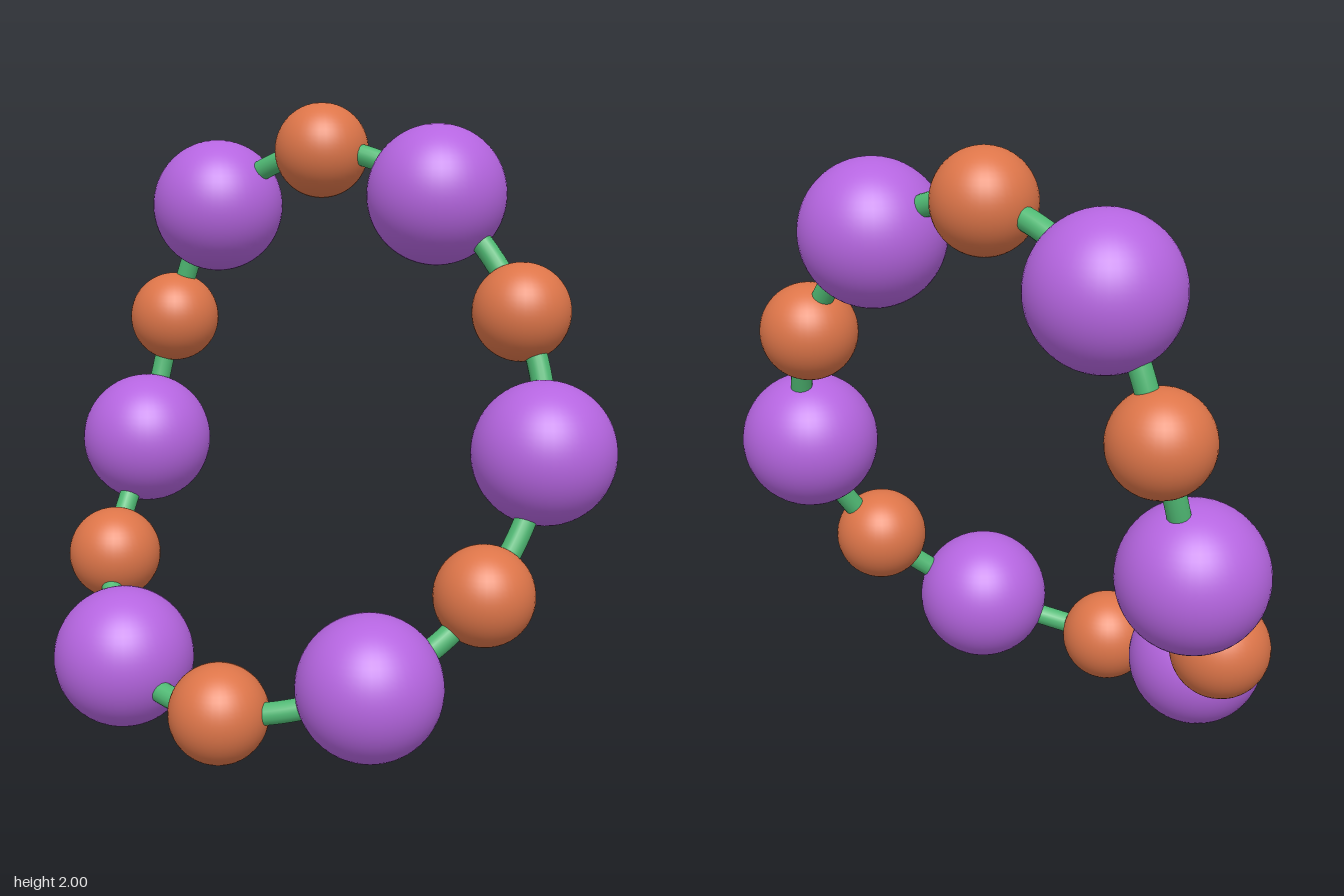
import * as THREE from 'three';

// Bead centres around the ring, large and small alternating
const CENTRES = [
  [-0.534, 1.653, -0.36], [-0.11, 1.844, -0.35],
  [0.307, 1.706, -0.367], [0.616, 1.349, -0.352],
  [0.746, 0.931, -0.247], [0.667, 0.526, -0.004],
  [0.418, 0.268, 0.256], [-0.005, 0.161, 0.436],
  [-0.428, 0.243, 0.354], [-0.693, 0.479, 0.055],
  [-0.751, 0.833, -0.216], [-0.712, 1.257, -0.34],
];

export function createModel() {
  const model = new THREE.Group();
  model.name = 'beadRing';
  const points = CENTRES.map((c) => new THREE.Vector3(...c));

  const largeMaterial = new THREE.MeshStandardMaterial({ color: 0xb565e0 });
  const smallMaterial = new THREE.MeshStandardMaterial({ color: 0xdd7549 });
  const cordMaterial = new THREE.MeshStandardMaterial({ color: 0x4fb873 });
  const largeGeometry = new THREE.SphereGeometry(0.225, 48, 32);
  const smallGeometry = new THREE.SphereGeometry(0.156, 40, 28);

  // Beads
  points.forEach((point, i) => {
    const large = i % 2 === 0;
    const bead = new THREE.Mesh(
      large ? largeGeometry : smallGeometry,
      large ? largeMaterial : smallMaterial
    );
    bead.name = `${large ? 'largeBead' : 'smallBead'}${Math.floor(i / 2) + 1}`;
    bead.position.copy(point);
    model.add(bead);
  });

  // Cord: a smooth closed loop threaded through every bead
  const loop = new THREE.CatmullRomCurve3(points, true, 'catmullrom', 0.5);
  const cord = new THREE.Mesh(new THREE.TubeGeometry(loop, 240, 0.035, 16, true), cordMaterial);
  cord.name = 'cord';
  model.add(cord);

  return model;
}
